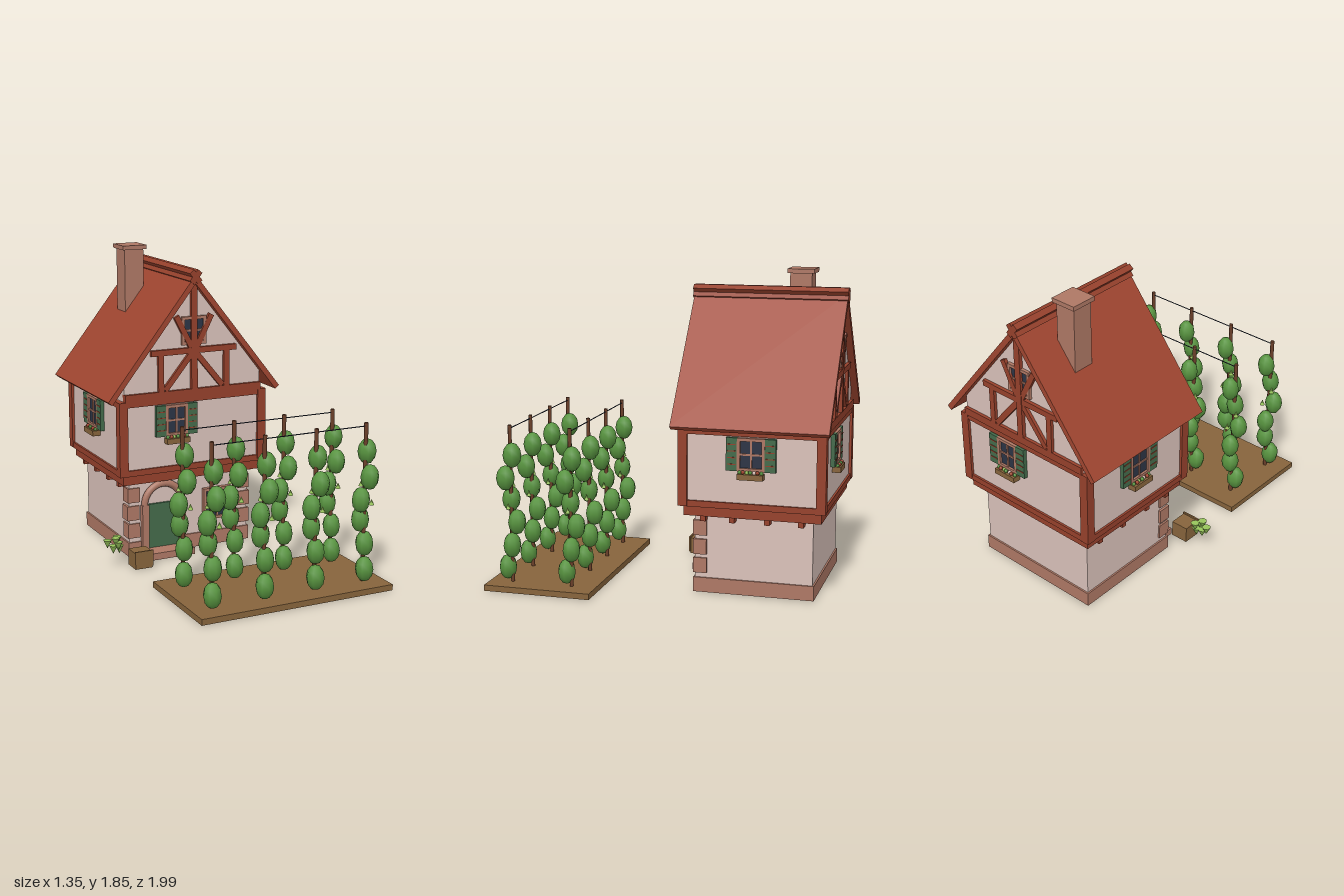
import * as THREE from 'three';

const mat = (name, color) => {
  const m = new THREE.MeshStandardMaterial({ color });
  m.name = name;
  return m;
};

export function createModel() {
  const plaster = mat('plaster', 0xdac2ba), roofRed = mat('roof tile', 0xa04630);
  const timber = mat('timber', 0x96412c), stone = mat('stone', 0xae7865);
  const glass = mat('dark glass', 0x2c3445), green = mat('painted green', 0x446b4b);
  const wood = mat('wood and soil', 0x87643c), leaf = mat('leaf', 0x589440);
  const hop = mat('hop cone', 0x98c45c), pole = mat('pole wood', 0x6c402a);

  const add = (parent, name, geo, material, x = 0, y = 0, z = 0) => {
    const m = new THREE.Mesh(geo, material);
    m.name = name;
    m.position.set(x, y, z);
    parent.add(m);
    return m;
  };
  // Box given by its minimum and maximum corners
  const box = (parent, name, material, x0, x1, y0, y1, z0, z1) =>
    add(parent, name, new THREE.BoxGeometry(x1 - x0, y1 - y0, z1 - z0), material,
      (x0 + x1) / 2, (y0 + y1) / 2, (z0 + z1) / 2);
  // Straight timber between two points of a facade
  const beam = (parent, name, ax, ay, bx, by, w, z, d) => {
    const len = Math.hypot(bx - ax, by - ay);
    const m = add(parent, name, new THREE.BoxGeometry(len, w, d), timber, (ax + bx) / 2, (ay + by) / 2, z);
    m.rotation.z = Math.atan2(by - ay, bx - ax);
    return m;
  };
  const group = (parent, name) => {
    const g = new THREE.Group();
    g.name = name;
    parent.add(g);
    return g;
  };

  // Window facing +z with its back on the local z = 0 plane
  const makeWindow = (parent, name, w, h, dressed) => {
    const g = group(parent, name), t = 0.018;
    box(g, 'pane', glass, -w / 2 + t / 2, w / 2 - t / 2, -h / 2 + t / 2, h / 2 - t / 2, -0.01, 0.012);
    for (const s of [-1, 1]) {
      add(g, 'frameSide', new THREE.BoxGeometry(t, h, 0.03), stone, s * (w - t) / 2, 0, 0.01);
      add(g, 'frameRail', new THREE.BoxGeometry(w - 2 * t, t, 0.03), stone, 0, s * (h - t) / 2, 0.01);
    }
    add(g, 'mullion', new THREE.BoxGeometry(0.011, h - 2 * t, 0.012), stone, 0, 0, 0.013);
    add(g, 'transom', new THREE.BoxGeometry(w - 2 * t, 0.011, 0.011), stone, 0, 0, 0.013);
    if (!dressed) return g;
    for (const s of [-1, 1]) {
      const x = s * (w / 2 + 0.031);
      add(g, 'shutter', new THREE.BoxGeometry(0.064, h, 0.024), green, x, 0, 0.012);
      for (let i = 0; i < 4; i++)
        add(g, 'shutterSlat', new THREE.BoxGeometry(0.05, 0.006, 0.004), timber, x, h * (-0.3 + 0.2 * i), 0.025);
    }
    box(g, 'flowerBox', wood, -0.075, 0.075, -h / 2 - 0.045, -h / 2 - 0.012, 0, 0.05);
    const colours = [leaf, roofRed, hop, leaf, plaster, roofRed, leaf];
    colours.forEach((c, i) => add(g, 'flower', new THREE.SphereGeometry(0.012, 6, 4), c,
      -0.063 + i * 0.021, -h / 2 - 0.006 + (i % 2) * 0.004, 0.028 + (i % 2) * 0.008));
    return g;
  };

  const model = new THREE.Group();
  model.name = 'timberCottageWithGarden';
  const house = group(model, 'house');
  house.position.set(-0.05, 0, -0.533);

  // Ground floor
  box(house, 'lowerWall', plaster, -0.4, 0.4, 0, 0.48, -0.345, 0.345);
  box(house, 'plinth', stone, -0.41, 0.41, 0.003, 0.09, -0.355, 0.355);
  for (const s of [-1, 1]) for (let i = 0; i < 3; i++) {
    const shift = i % 2 ? 0.004 : 0;
    add(house, 'cornerStone', new THREE.BoxGeometry(0.078, 0.09, 0.08), stone,
      s * (0.372 + shift), 0.163 + i * 0.112, 0.315);
  }
  box(house, 'doorStep', stone, -0.34, -0.02, 0, 0.042, 0.34, 0.473);

  // Arched doorway
  const door = group(house, 'doorway');
  door.position.set(-0.18, 0, 0.345);
  box(door, 'doorLeaf', green, -0.104, 0.104, 0.04, 0.32, -0.01, 0.015);
  for (const s of [-1, 1])
    add(door, 'doorJamb', new THREE.BoxGeometry(0.044, 0.28, 0.04), stone, s * 0.123, 0.18, 0.012);
  add(door, 'doorArch', new THREE.TorusGeometry(0.123, 0.022, 8, 20, Math.PI), stone, 0, 0.32, 0.012);
  add(door, 'doorKnob', new THREE.SphereGeometry(0.009, 8, 6), wood, 0.08, 0.18, 0.02);
  makeWindow(house, 'lowerWindow', 0.19, 0.2, false).position.set(0.182, 0.275, 0.355);

  // Jettied upper floor and its frame
  box(house, 'jettyBeam', timber, -0.458, 0.458, 0.47, 0.53, -0.4, 0.4);
  for (const s of [-1, 1]) for (const z of [0.288, 0.118, -0.087, -0.282])
    add(house, 'joistEnd', new THREE.BoxGeometry(0.06, 0.037, 0.032), timber, s * 0.42, 0.457, z);
  box(house, 'upperWall', plaster, -0.472, 0.472, 0.532, 0.984, -0.411, 0.411);
  for (const s of [-1, 1]) {
    for (const t of [-1, 1])
      add(house, 'cornerPost', new THREE.BoxGeometry(0.055, 0.455, 0.055), timber, s * 0.4605, 0.7575, t * 0.3995);
    for (const [y, h] of [[0.547, 0.036], [0.968, 0.034]]) {
      add(house, 'sideRail', new THREE.BoxGeometry(0.03, h, 0.746), timber, s * 0.47, y, 0);
      add(house, 'gableRail', new THREE.BoxGeometry(0.868, h, 0.03), timber, 0, y, s * 0.409);
    }
    const w = makeWindow(house, 'sideWindow', 0.16, 0.19, true);
    w.position.set(s * 0.472, 0.85, 0);
    w.rotation.y = s * Math.PI / 2;
  }

  // Gable wall under the roof
  const gable = new THREE.Shape([[-0.45, 0.984], [0.45, 0.984], [0.45, 1.11], [0, 1.675], [-0.45, 1.11]]
    .map(p => new THREE.Vector2(...p)));
  add(house, 'gableWall', new THREE.ExtrudeGeometry(gable, { depth: 0.822, bevelEnabled: false }), plaster, 0, 0, -0.411);

  // Matching front and back gables
  for (const back of [0, 1]) {
    const f = group(house, back ? 'backGable' : 'frontGable');
    f.rotation.y = back * Math.PI;
    const z = 0.414;
    box(f, 'gableSill', timber, -0.45, 0.45, 0.984, 1.03, 0.39, 0.43);
    box(f, 'collarBeam', timber, -0.28, 0.28, 1.247, 1.282, 0.4, 0.432);
    box(f, 'kingPost', timber, -0.02, 0.02, 1.03, 1.69, 0.4, 0.434);
    for (const s of [-1, 1]) {
      box(f, 'queenPost', timber, s * 0.217 - 0.018, s * 0.217 + 0.018, 1.03, 1.25, 0.4, 0.43);
      beam(f, 'lowerBrace', 0, 1.265, s * 0.19, 1.035, 0.034, z, 0.03);
      beam(f, 'upperBrace', 0, 1.25, s * 0.115, 1.475, 0.034, z + 0.002, 0.03);
    }
    makeWindow(f, 'atticWindow', 0.16, 0.17, false).position.set(0, 1.385, 0.405);
    makeWindow(f, 'upperWindow', 0.145, 0.19, true).position.set(-0.118, 0.85, 0.411);
  }

  // Roof slabs and crossed ridge boards
  const roof = new THREE.Shape([[0, 1.72], [-0.567, 1.003], [-0.542, 0.982], [0, 1.667], [0.542, 0.982], [0.567, 1.003]]
    .map(p => new THREE.Vector2(...p)));
  add(house, 'roof', new THREE.ExtrudeGeometry(roof, { depth: 0.905, bevelEnabled: false }), roofRed, 0, 0, -0.4525);
  for (const s of [-1, 1])
    add(house, 'ridgeBoard', new THREE.BoxGeometry(0.085, 0.036, 0.916), timber, 0, 1.708, 0).rotation.z = s * 0.9;

  // Chimney
  box(house, 'chimney', stone, -0.225, -0.1, 1.3, 1.822, -0.222, -0.092);
  box(house, 'chimneyCap', stone, -0.24, -0.083, 1.82, 1.846, -0.238, -0.078);

  // Crate by the door and the sprig beside it
  box(model, 'crate', wood, -0.51, -0.4, 0, 0.1, -0.065, 0.045);
  box(model, 'crateFront', wood, -0.513, -0.397, 0.012, 0.11, 0.042, 0.052);
  const sprig = group(model, 'hopSprig');
  for (const [x, y, z] of [[-0.65, 0.152, -0.05], [-0.605, 0.165, -0.03], [-0.58, 0.16, -0.07],
    [-0.615, 0.115, -0.045], [-0.575, 0.11, -0.05], [-0.59, 0.14, -0.025]])
    add(sprig, 'hopCone', new THREE.ConeGeometry(0.027, 0.052, 7), hop, x, y, z).rotation.x = Math.PI;

  // Garden bed with two wired rows of climbing plants
  const garden = group(model, 'garden');
  box(garden, 'soilBed', wood, -0.535, 0.675, 0, 0.035, 0.355, 1);
  const leafGeo = new THREE.SphereGeometry(0.054, 8, 6).scale(1, 1.38, 1);
  const clumps = [[-0.01, 0.118, 0.032], [0.01, 0.257, -0.005], [-0.005, 0.395, -0.032],
    [-0.03, 0.525, 0.011], [0.015, 0.658, 0.027], [0.022, 0.797, -0.02]];
  for (const z of [0.5, 0.866]) {
    add(garden, 'wire', new THREE.CylinderGeometry(0.003, 0.003, 0.966, 6), glass, 0.071, 0.95, z).rotation.z = Math.PI / 2;
    for (let i = 0; i < 4; i++) {
      const plant = group(garden, 'climbingPlant');
      plant.position.set(-0.412 + i * 0.322, 0, z);
      add(plant, 'pole', new THREE.CylinderGeometry(0.012, 0.012, 0.95, 6), pole, 0, 0.495, 0);
      clumps.forEach(([x, y, dz], k) => {
        add(plant, 'leafClump', leafGeo, leaf, x, y, dz).rotation.y = k * 0.7;
      });
      for (const [x, y, dz] of [[0.048, 0.5, 0], [-0.02, 0.62, -0.005]])
        add(plant, 'hopCone', new THREE.ConeGeometry(0.016, 0.036, 6), hop, x, y, dz);
    }
  }
  return model;
}
